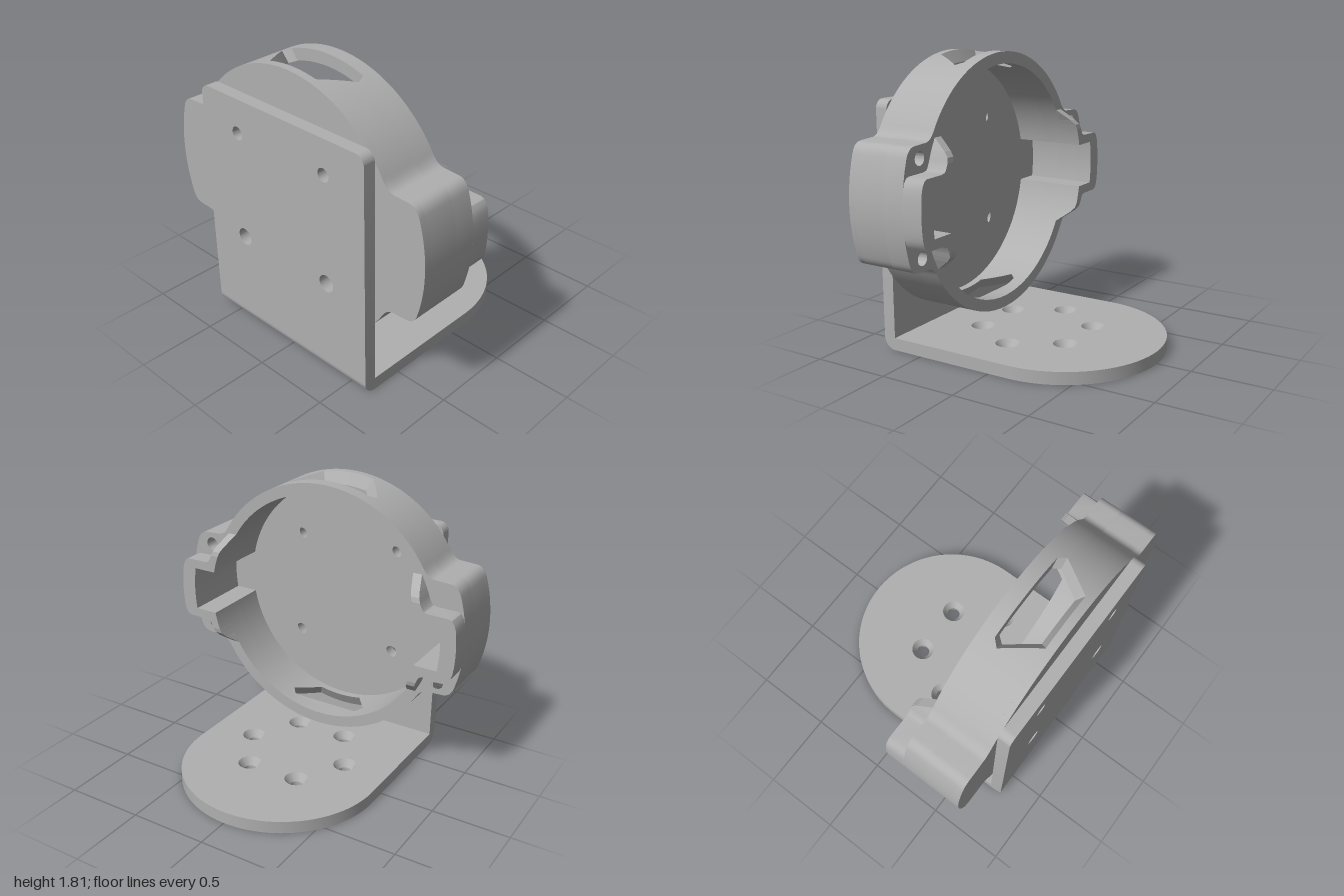
import * as THREE from 'three';
import { toCreasedNormals } from 'three/addons/utils/BufferGeometryUtils.js';

const grey = new THREE.MeshStandardMaterial({ color: 0xb0b0b0 });
grey.name = 'grey';

const V = (x, y) => new THREE.Vector2(x, y);
const mirrorY = pts => pts.map(p => V(p.x, -p.y)).reverse();
const flipX = (pts, s) => pts.map(p => V(p.x * s, p.y));

// points on a circle about the origin, angles in radians
function arc(r, from, to, n) {
  return Array.from({ length: n + 1 }, (_, i) => {
    const a = from + (to - from) * i / n;
    return V(r * Math.cos(a), r * Math.sin(a));
  });
}

function addHole(shape, x, y, r) {
  shape.holes.push(new THREE.Path().absarc(x, y, r, 0, Math.PI * 2, true));
}

function mesh(name, geo) {
  const m = new THREE.Mesh(toCreasedNormals(geo, 0.5), grey);
  m.name = name;
  return m;
}

// extrude a (side, height) shape along +x from x0 to x1
function slab(name, shape, x0, x1, rule) {
  const g = new THREE.ExtrudeGeometry(shape, { depth: x1 - x0, bevelEnabled: false, curveSegments: 20 });
  g.translate(0, 0, x0);
  if (rule) {
    const p = g.attributes.position;
    for (let i = 0; i < p.count; i++) if (p.getZ(i) > x1 - 1e-4) p.setZ(i, rule(Math.abs(p.getY(i))));
    g.computeVertexNormals();
  }
  g.rotateY(Math.PI / 2);
  return mesh(name, g);
}

const R = 0.825, RI = 0.75, SLOT_O = 0.32, SLOT_I = 0.27;
const BACK = -0.70, FLOOR = -0.66, FRONT = -0.31, RIM = -0.18;

// outer outline of one side, from a start angle down to the middle of the ear
function outerHalf(start) {
  const ring = arc(R, start, 0.56, 24);
  const end = ring[ring.length - 1];
  const fillet = new THREE.QuadraticBezierCurve(end, V(0.735, 0.372), V(0.78, 0.37)).getPoints(6).slice(1);
  const corner = new THREE.QuadraticBezierCurve(V(0.885, 0.365), V(0.935, 0.36), V(0.954, 0.3)).getPoints(6);
  return [...ring, ...fillet, ...corner, ...arc(1, Math.asin(0.3), 0, 6).slice(1)];
}

// outline of the cavity on one side, with the rectangular ear pocket
function innerHalf(start) {
  return [...arc(RI, start, Math.asin(0.145 / RI), 30), ...arc(0.9, Math.asin(0.145 / 0.9), 0, 4)];
}

const closeHalf = pts => [...pts, ...mirrorY(pts).slice(1)];

// wall sector with a tapered slot, lofted as one bar behind and one in front of the slot
function slotSector() {
  const N = 50, pos = [];
  const lerp = THREE.MathUtils.mapLinear;
  const section = (u, front) => {
    const k = Math.abs(u);
    const to = Math.asin(SLOT_O * u / R), ti = Math.asin(SLOT_I * u / RI);
    let ao, ai;
    if (front) {
      ao = ai = k < 0.88 ? -0.40 : lerp(k, 0.88, 1, -0.40, -0.44);
    } else {
      ao = k < 0.56 ? -0.65 : lerp(k, 0.56, 1, -0.65, -0.44);
      ai = k < 0.56 ? -0.61 : lerp(k, 0.56, 1, -0.61, -0.44);
    }
    const P = (r, t, z) => [r * Math.sin(t), r * Math.cos(t), z];
    return front
      ? [P(R, to, ao), P(R, to, FRONT), P(RI, ti, FRONT), P(RI, ti, ai)]
      : [P(R, to, FLOOR), P(R, to, ao), P(RI, ti, ai), P(RI, ti, FLOOR)];
  };
  for (const front of [false, true]) {
    for (let i = 0; i < N; i++) {
      const s = section(-1 + 2 * i / N, front), t = section(-1 + 2 * (i + 1) / N, front);
      for (let k = 0; k < 4; k++) {
        const n = (k + 1) % 4;
        pos.push(...s[k], ...s[n], ...t[n], ...s[k], ...t[n], ...t[k]);
      }
    }
  }
  const g = new THREE.BufferGeometry();
  g.setAttribute('position', new THREE.Float32BufferAttribute(pos, 3));
  g.computeVertexNormals();
  return g;
}

function createHousing() {
  const housing = new THREE.Group();
  housing.name = 'housing';
  housing.position.y = 0.99;

  // floor disc with ears and four screw holes
  const right = closeHalf(outerHalf(Math.PI / 2));
  const floor = new THREE.Shape([...right, ...flipX(right, -1).reverse().slice(1, -1)]);
  for (const x of [-0.35, 0.35]) for (const y of [-0.35, 0.35]) addHole(floor, x, y, 0.04);
  housing.add(slab('housingFloor', floor, BACK, FLOOR));

  // side walls with ears and blind screw holes
  const outer = closeHalf(outerHalf(Math.PI / 2 - Math.asin(SLOT_O / R)));
  const inner = closeHalf(innerHalf(Math.PI / 2 - Math.asin(SLOT_I / RI))).reverse();
  for (const s of [-1, 1]) {
    const pts = flipX([...outer, ...inner], s);
    housing.add(slab('sideWallBack', new THREE.Shape(pts), FLOOR, -0.45));
    const drilled = new THREE.Shape(pts);
    for (const y of [-0.29, 0.29]) addHole(drilled, s * 0.84, y, 0.042);
    housing.add(slab('sideWallFront', drilled, -0.45, FRONT));

    // raised rim around the ear pocket
    const y0 = 0.26, at = (r, y) => Math.sqrt(r * r - y * y);
    const rimOut = [
      V(at(0.80, y0), y0), V(0.772, 0.225), V(0.785, 0.212), V(0.81, 0.206), V(0.94, 0.205),
      V(0.962, 0.197), V(0.978, 0.175), V(0.989, 0.145), ...arc(1, 0.1, 0, 3),
    ];
    const rimIn = innerHalf(Math.asin(y0 / RI));
    const rim = [...closeHalf(rimOut), ...closeHalf(rimIn).reverse()];
    housing.add(slab('earRim', new THREE.Shape(flipX(rim, s)), FRONT, RIM));

    // ramps at both ends of the rim
    const levels = [[0.26, RIM], [0.29, -0.187], [0.32, -0.215], [0.388, FRONT + 0.001]];
    for (const v of [-1, 1]) {
      for (let i = 0; i < 3; i++) {
        const [a, xa] = levels[i], [b, xb] = levels[i + 1];
        const quad = [V(at(RI, a), a), V(at(0.80, a), a), V(at(0.80, b), b), V(at(RI, b), b)];
        const shape = new THREE.Shape(quad.map(p => V(p.x * s, p.y * v)));
        housing.add(slab('rimRamp', shape, FRONT, RIM,
          y => THREE.MathUtils.mapLinear(y, a, b, xa, xb)));
      }
    }
  }

  // slotted sectors at top and bottom
  for (const turn of [0, Math.PI]) {
    housing.add(mesh(turn ? 'bottomSlot' : 'topSlot', slotSector().rotateZ(turn).rotateY(Math.PI / 2)));
  }
  return housing;
}

function createBracket() {
  const bracket = new THREE.Group();
  bracket.name = 'bracket';
  const W = 0.65, T = 0.08;

  // base plate with rounded end
  const base = new THREE.Shape();
  base.moveTo(-0.70, -W).lineTo(0.13, -W).absarc(0.13, 0, W, -Math.PI / 2, Math.PI / 2, false).lineTo(-0.70, W);
  const cone = [V(0.075, T), V(0.042, 0.03), V(0.042, 0), V(0.075, 0)];
  for (let i = 0; i < 6; i++) {
    const a = Math.PI / 6 + i * Math.PI / 3;
    const x = -0.06 + 0.353 * Math.cos(a), z = 0.353 * Math.sin(a);
    addHole(base, x, -z, 0.075);
    const sink = mesh('countersunkHole', new THREE.LatheGeometry(cone, 40));
    sink.position.set(x, 0, z);
    bracket.add(sink);
  }
  const baseGeo = new THREE.ExtrudeGeometry(base, { depth: T, bevelEnabled: false, curveSegments: 20 });
  bracket.add(mesh('basePlate', baseGeo.rotateX(-Math.PI / 2)));

  // rounded bend
  const bend = new THREE.Shape();
  bend.moveTo(-0.70, T).lineTo(-0.78, T).absarc(-0.70, T, T, Math.PI, Math.PI * 1.5, false);
  const bendGeo = new THREE.ExtrudeGeometry(bend, { depth: 2 * W, bevelEnabled: false });
  bracket.add(mesh('bend', bendGeo.translate(0, 0, -W)));

  // upright plate with rounded top corners and screw holes
  const c = 0.06, H = 1.56;
  const plate = new THREE.Shape();
  plate.moveTo(-W, T).lineTo(W, T).lineTo(W, H - c).absarc(W - c, H - c, c, 0, Math.PI / 2, false);
  plate.lineTo(-W + c, H).absarc(-W + c, H - c, c, Math.PI / 2, Math.PI, false);
  for (const x of [-0.35, 0.35]) {
    addHole(plate, x, 1.34, 0.042);
    addHole(plate, x, 0.64, 0.055);
  }
  bracket.add(slab('uprightPlate', plate, -0.78, -0.70));
  return bracket;
}

export function createModel() {
  const model = new THREE.Group();
  model.name = 'wallMount';
  model.add(createBracket(), createHousing());
  return model;
}
